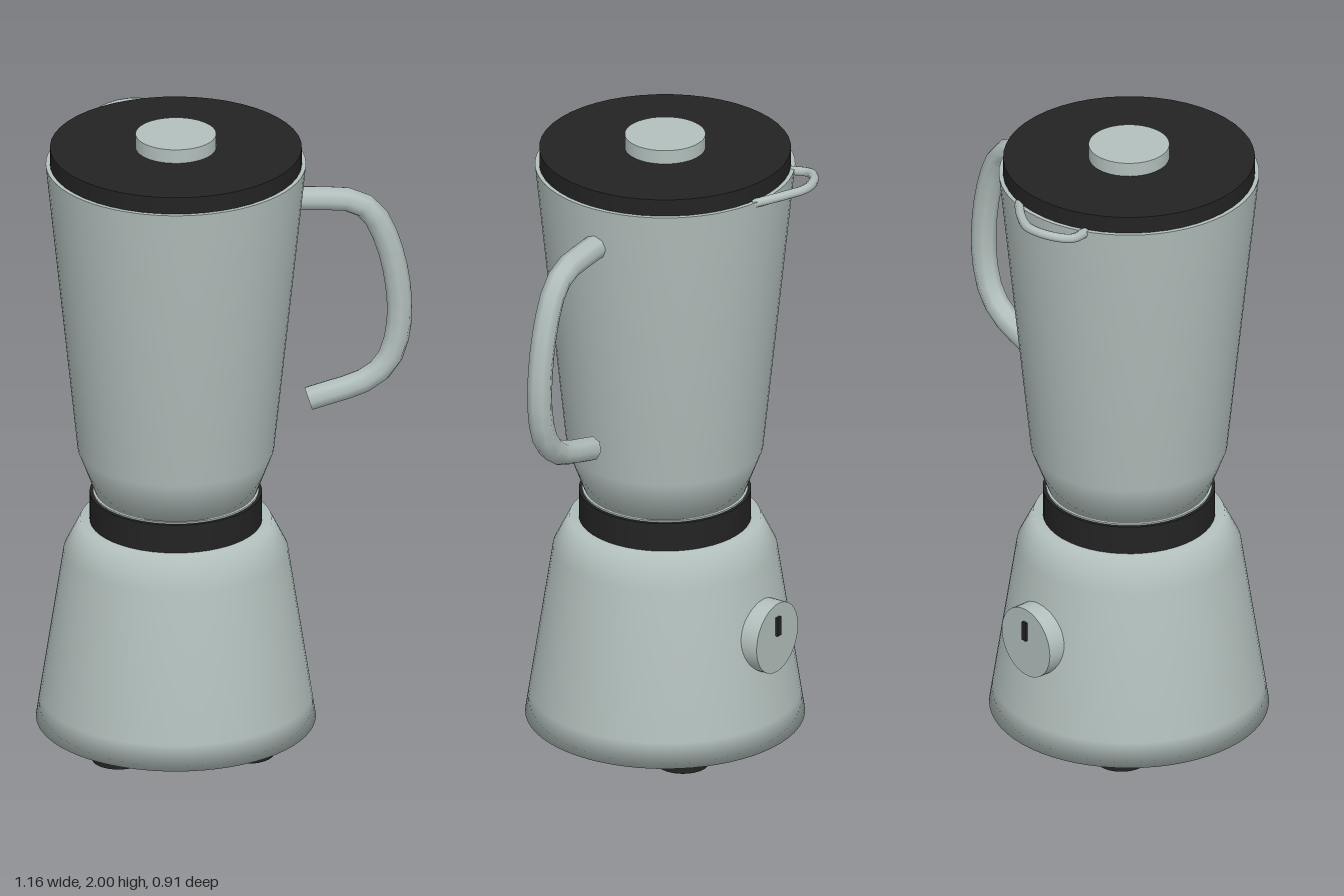
import * as THREE from 'three';

export function createModel() {
  const model = new THREE.Group();
  const grey = new THREE.MeshStandardMaterial({ color: 0xb2bfbc });
  grey.name = 'brushed grey';
  const black = new THREE.MeshStandardMaterial({ color: 0x232323 });
  black.name = 'matt black';

  // Everything round shares one upright axis, set off-centre by the handle
  const body = new THREE.Group();
  body.name = 'blenderBody';
  body.position.set(-0.15, 0, 0.025);
  model.add(body);

  function add(name, geometry, material, parent = body) {
    const mesh = new THREE.Mesh(geometry, material);
    mesh.name = name;
    parent.add(mesh);
    return mesh;
  }
  function lathe(name, profile) {
    const points = profile.map(([r, y]) => new THREE.Vector2(r, y));
    return add(name, new THREE.LatheGeometry(points, 64), grey);
  }
  function disc(name, radius, y0, y1, material) {
    const mesh = add(name, new THREE.CylinderGeometry(radius, radius, y1 - y0, 48), material);
    mesh.position.y = (y0 + y1) / 2;
    return mesh;
  }
  // Bent rod with closed ends
  function rod(name, path, radius, segments, sides) {
    const group = new THREE.Group();
    group.name = name;
    model.add(group);
    const curve = new THREE.CatmullRomCurve3(path.map(p => new THREE.Vector3(...p)));
    add(name + 'Rod', new THREE.TubeGeometry(curve, segments, radius, sides), grey, group);
    for (const t of [0, 1]) {
      const cap = add(name + 'End', new THREE.CircleGeometry(radius, sides), grey, group);
      const out = curve.getTangent(t).multiplyScalar(t ? 1 : -1);
      cap.position.copy(curve.getPoint(t));
      cap.quaternion.setFromUnitVectors(new THREE.Vector3(0, 0, 1), out);
    }
  }

  // Four feet
  for (const x of [-0.2, 0.2]) for (const z of [-0.2, 0.2]) {
    disc('foot', 0.08, 0, 0.055, black).position.set(x, 0.0275, z);
  }

  // Motor base, collar and jar
  lathe('motorBase', [[0, 0.05], [0.43, 0.05], [0.418, 0.13], [0.345, 0.61], [0.295, 0.71], [0, 0.71]]);
  disc('collar', 0.265, 0.7, 0.803, black);
  disc('jarSeat', 0.255, 0.79, 0.808, grey);
  lathe('jar', [[0, 0.808], [0.248, 0.808], [0.302, 0.95], [0.392, 1.82], [0.4, 1.9]]);
  const rim = add('jarRim', new THREE.RingGeometry(0.3, 0.4, 64), grey);
  rim.rotation.x = -Math.PI / 2;
  rim.position.y = 1.9;

  // Lid and its cap
  disc('lid', 0.387, 1.895, 1.955, black);
  disc('lidCap', 0.124, 1.95, 2, grey);

  // Speed dial on the back, with its pointer mark
  const dial = add('speedDial', new THREE.CylinderGeometry(0.114, 0.114, 0.1, 40), grey);
  dial.rotation.x = Math.PI / 2;
  dial.position.set(0, 0.402, -0.365);
  const mark = add('dialMark', new THREE.BoxGeometry(0.018, 0.062, 0.009), black);
  mark.position.set(0, 0.442, -0.4195);

  // Side handle
  rod('handle', [
    [0.2, 1.767, 0.025], [0.3, 1.762, 0.025], [0.395, 1.75, 0.025], [0.455, 1.71, 0.025],
    [0.51, 1.59, 0.025], [0.54, 1.42, 0.025], [0.535, 1.3, 0.025], [0.505, 1.21, 0.025],
    [0.445, 1.152, 0.025], [0.26, 1.092, 0.025],
  ], 0.039, 18, 8);

  // Pouring lip looped round the back of the rim
  rod('pouringLip', [
    [-0.34, 1.89, -0.31], [-0.35, 1.895, -0.375], [-0.3, 1.902, -0.425], [-0.225, 1.905, -0.443],
    [-0.16, 1.902, -0.415], [-0.07, 1.89, -0.35],
  ], 0.015, 24, 8);

  return model;
}
